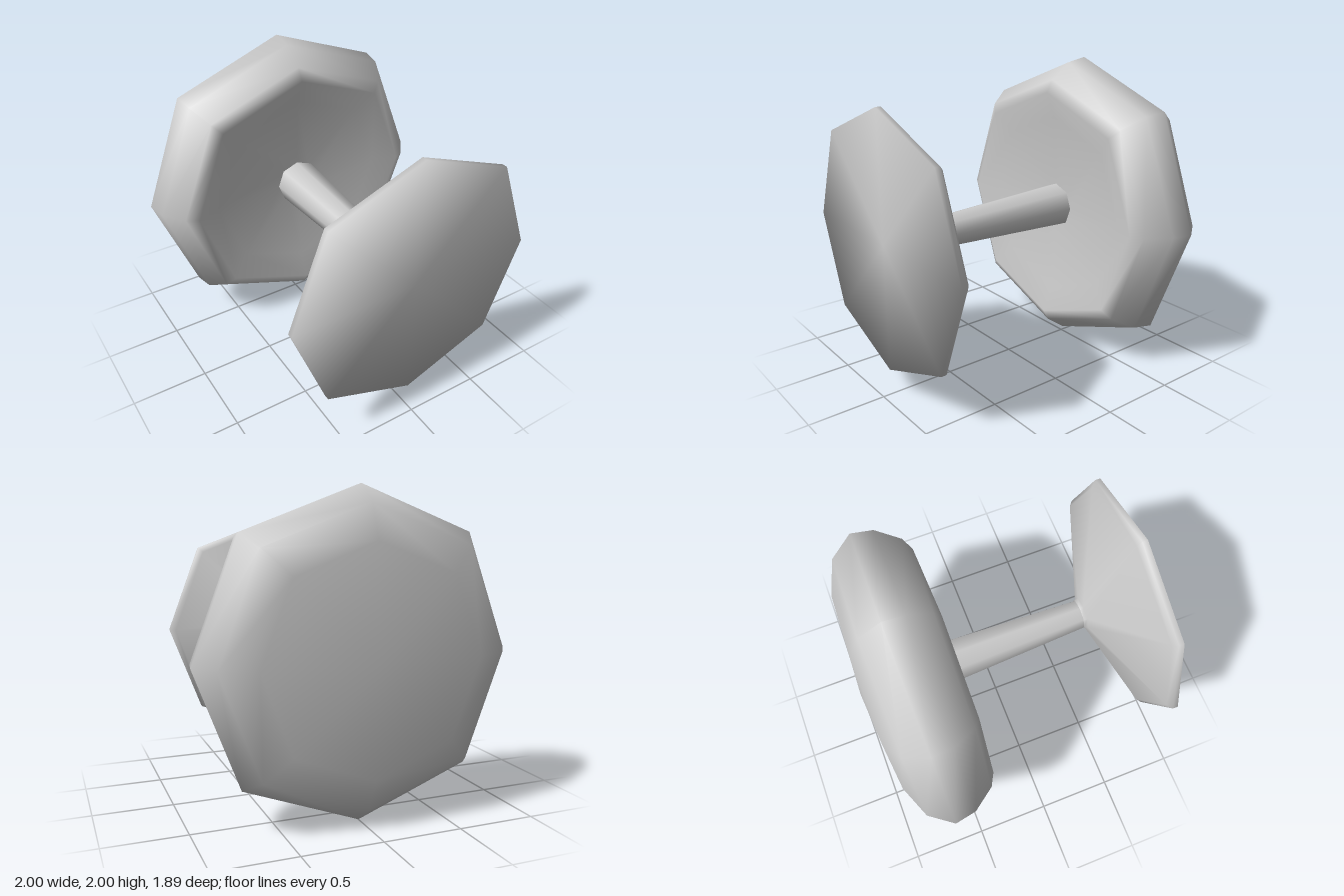
import * as THREE from 'three';

const SIDES = 8;
const CORNER = 1.026; // the diagonal corners stand out slightly further
const material = new THREE.MeshStandardMaterial({ color: 0xcccccc });

// Push the four diagonal corners of an octagonal geometry outwards
function widenCorners(geometry) {
  const { position } = geometry.attributes;
  for (let i = 0; i < position.count; i++) {
    const x = position.getX(i), y = position.getY(i);
    const scale = Math.min(Math.abs(x), Math.abs(y)) > 0.01 ? CORNER : 1;
    position.setXY(i, x * scale, y * scale);
  }
}

// Spin a [radius, z] profile, listed from back to front, around the z axis
function spin(name, profile) {
  const points = profile.map(([r, z]) => new THREE.Vector2(r, z));
  const geometry = new THREE.LatheGeometry(points, SIDES).rotateX(Math.PI / 2);
  widenCorners(geometry);
  const mesh = new THREE.Mesh(geometry, material);
  mesh.name = name;
  return mesh;
}

export function createModel() {
  const model = new THREE.Group();
  model.name = 'knob';

  const body = new THREE.Group();
  body.name = 'body';
  body.position.y = 1;
  model.add(body);

  // Thick rounded head with a shallow dish around the stem
  const head = spin('head', [
    [0, -0.945], [0.68, -0.885], [0.89, -0.8], [1, -0.65], [0.975, -0.51],
    [0.87, -0.365], [0.79, -0.322], [0.62, -0.39], [0.13, -0.42],
  ]);
  body.add(head);

  // Smooth the shading across the tip of the head's back
  const { position, normal } = head.geometry.attributes;
  for (let i = 0; i < position.count; i++) {
    if (position.getZ(i) < -0.94) normal.setXYZ(i, 0, 0, -1);
  }

  // Tapered stem
  body.add(spin('stem', [[0.15, -0.43], [0.1, 0.61]]));

  // Flared foot with a short straight rim
  body.add(spin('foot', [[0.1, 0.6], [0.11, 0.625], [0.79, 0.88], [0.827, 0.91], [0.827, 0.945]]));

  // Flat face of the foot, its shading blended into the rim
  const faceGeometry = new THREE.CircleGeometry(0.827, SIDES, Math.PI / 2);
  const rim = faceGeometry.attributes;
  for (let i = 1; i < rim.position.count; i++) {
    rim.normal.setXYZ(i, rim.position.getX(i) / 0.827, rim.position.getY(i) / 0.827, 0);
  }
  widenCorners(faceGeometry);
  const face = new THREE.Mesh(faceGeometry, material);
  face.name = 'footFace';
  face.position.z = 0.945;
  body.add(face);

  return model;
}
